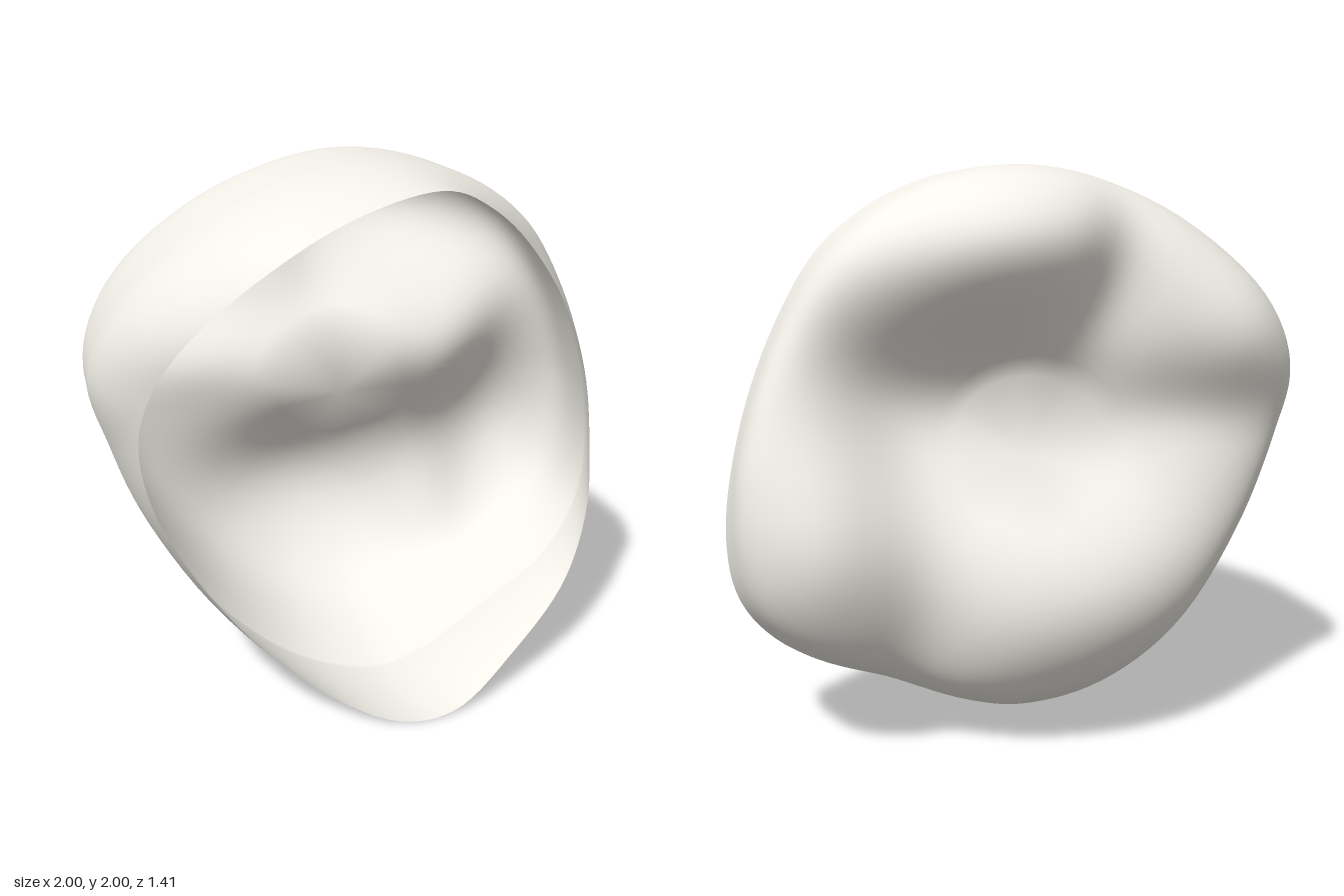
import * as THREE from 'three';

// Around the shell: rim x, y, z, then the widest outline x, y
const SECTIONS = [
  [0.10, 1.95, 0.50, 0.02, 2.00],
  [-0.20, 1.91, 0.65, -0.32, 1.95],
  [-0.43, 1.81, 0.71, -0.63, 1.80],
  [-0.70, 1.56, 0.57, -0.90, 1.54],
  [-0.83, 1.30, 0.37, -1.00, 1.28],
  [-0.86, 1.08, 0.25, -0.94, 1.02],
  [-0.79, 0.77, 0.18, -0.83, 0.72],
  [-0.53, 0.34, 0.18, -0.57, 0.31],
  [-0.25, 0.10, 0.30, -0.28, 0.08],
  [0.00, 0.01, 0.42, 0.00, 0.01],
  [0.22, 0.01, 0.41, 0.20, 0.05],
  [0.50, 0.14, 0.28, 0.48, 0.18],
  [0.80, 0.32, 0.08, 0.80, 0.34],
  [0.95, 0.55, -0.07, 0.96, 0.54],
  [0.97, 0.78, -0.12, 1.00, 0.78],
  [0.91, 1.12, -0.08, 0.94, 1.14],
  [0.76, 1.45, 0.00, 0.81, 1.48],
  [0.57, 1.69, 0.10, 0.64, 1.74],
  [0.36, 1.85, 0.26, 0.37, 1.92],
];

// Cusps (positive) and grooves (negative): x, y, width x, width y, tilt, height
const RELIEF = [
  [0.15, 1.78, 0.38, 0.20, -0.1, 0.23],   // upper cusp
  [-0.72, 1.48, 0.24, 0.24, 0.6, 0.15],   // upper side cusp
  [0.74, 0.78, 0.20, 0.25, 0.0, 0.13],    // lower side cusp
  [-0.14, 0.56, 0.40, 0.28, -0.1, 0.19],  // lower cusp
  [0.03, 1.14, 0.32, 0.17, 0.4, -0.18],   // central pit
  [-0.58, 1.18, 0.26, 0.12, 0.1, -0.06],  // grooves to the sides
  [0.46, 1.14, 0.24, 0.13, 0.95, -0.08],
  [-0.27, 1.66, 0.10, 0.24, 0.2, -0.06],  // groove between the upper cusps
  [0.40, 0.40, 0.12, 0.22, 0.1, -0.05],   // groove between the lower cusps
];

const CENTRE = { x: 0, y: 1.03 };
const AROUND = 120, WALL = 20, CROWN = 72, POWER = 6;

function biteHeight(x, y) {
  let z = -0.50;
  for (const [cx, cy, wx, wy, tilt, height] of RELIEF) {
    const c = Math.cos(tilt), s = Math.sin(tilt);
    const u = ((x - cx) * c + (y - cy) * s) / wx;
    const v = ((y - cy) * c - (x - cx) * s) / wy;
    z -= height * Math.exp(-0.5 * (u * u + v * v));
  }
  return z;
}

export function createModel() {
  const rim = new THREE.CatmullRomCurve3(
    SECTIONS.map(([x, y, z]) => new THREE.Vector3(x, y, z)), true);
  const outline = new THREE.CatmullRomCurve3(
    SECTIONS.map(([, , z, x, y]) => new THREE.Vector3(x, y, z * 0.45 - 0.18)), true);

  const positions = [], indices = [];
  const rings = WALL + CROWN;
  for (let r = 0; r < rings; r++) {
    for (let i = 0; i < AROUND; i++) {
      const a = rim.getPoint(i / AROUND), b = outline.getPoint(i / AROUND);
      if (r < WALL) {
        // Side wall, bulging from the rim to the widest outline
        const t = 1 - r / WALL, k = Math.pow(t, 1.8);
        positions.push(b.x + (a.x - b.x) * k, b.y + (a.y - b.y) * k, b.z + (a.z - b.z) * t);
      } else {
        // Rounded shoulder, tapered at the bottom, into the cusped biting surface
        const angle = (1 - (r - WALL) / CROWN) * Math.PI / 2;
        const depth = Math.pow(Math.cos(angle), 2 / POWER);
        const taper = 0.15 * Math.max(0, CENTRE.y - b.y) * depth;
        const s = Math.pow(Math.sin(angle), 2 / POWER) * (1 - taper);
        const x = CENTRE.x + (b.x - CENTRE.x) * s;
        const y = CENTRE.y + (b.y - CENTRE.y) * s;
        positions.push(x, y, b.z + (biteHeight(x, y) - b.z) * depth);
      }
    }
  }
  const pole = rings * AROUND;
  positions.push(CENTRE.x, CENTRE.y, biteHeight(CENTRE.x, CENTRE.y));

  // Faces between neighbouring rings, closed by a fan at the pole
  for (let r = 0; r < rings; r++) {
    for (let i = 0; i < AROUND; i++) {
      const a = r * AROUND + i, b = r * AROUND + (i + 1) % AROUND;
      if (r === rings - 1) indices.push(a, pole, b);
      else indices.push(a, b + AROUND, b, a, a + AROUND, b + AROUND);
    }
  }

  const geometry = new THREE.BufferGeometry();
  geometry.setAttribute('position', new THREE.Float32BufferAttribute(positions, 3));
  geometry.setIndex(indices);
  geometry.computeVertexNormals();

  const shell = new THREE.Mesh(geometry, new THREE.MeshStandardMaterial({
    color: 0xf3f1e9, side: THREE.DoubleSide,
  }));
  shell.name = 'toothCrownShell';

  const group = new THREE.Group();
  group.name = 'toothCrown';
  group.add(shell);
  return group;
}
